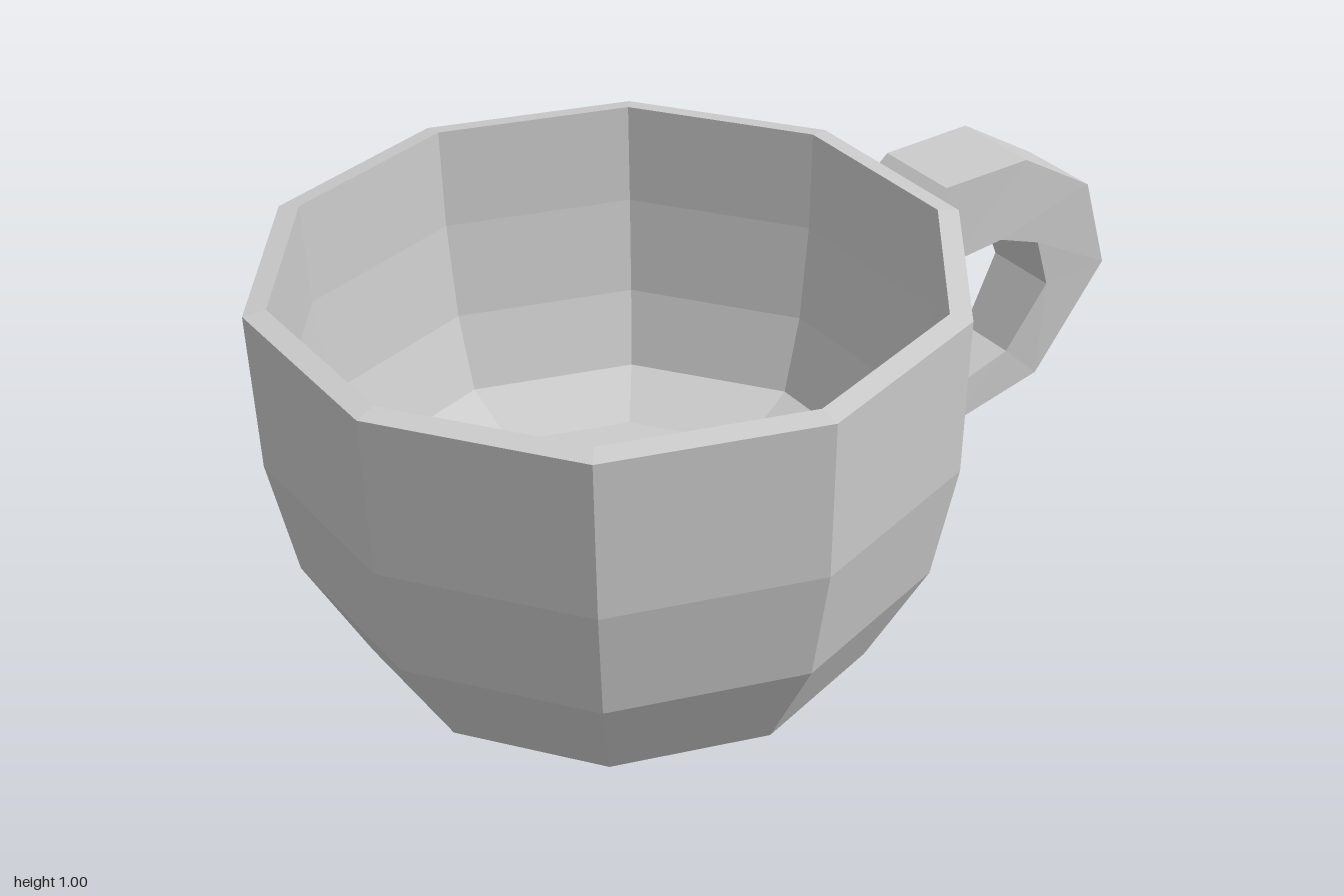
import * as THREE from 'three';

const material = new THREE.MeshStandardMaterial({ color: 0xcccccc, flatShading: true });
const CUP_X = -0.285;

// Ten-sided cup: underside, foot ring, outer wall, rim, inner wall and floor
function createCup() {
  const profile = [
    [0, 0.06], [0.345, 0.06], [0.345, 0], [0.387, 0], [0.387, 0.065],
    [0.457, 0.083], [0.555, 0.13], [0.69, 0.375], [0.743, 0.64], [0.753, 0.992],
    [0.705, 1], [0.696, 0.77], [0.665, 0.55], [0.61, 0.38], [0.46, 0.315], [0, 0.315],
  ].map(([r, y]) => new THREE.Vector2(r, y));
  const cup = new THREE.Mesh(new THREE.LatheGeometry(profile, 10), material);
  cup.name = 'cup';
  cup.position.x = CUP_X;
  return cup;
}

// Four-sided handle lofted through stations: outer x, y, inner x, y, half width
function createHandle() {
  const stations = [
    [0.40, 0.885, 0.40, 0.715, 0.098],
    [0.505, 0.967, 0.525, 0.775, 0.103],
    [0.73, 0.97, 0.67, 0.79, 0.105],
    [0.925, 0.85, 0.785, 0.745, 0.10],
    [1.0, 0.625, 0.83, 0.62, 0.09],
    [0.83, 0.375, 0.735, 0.465, 0.073],
    [0.565, 0.315, 0.55, 0.405, 0.069],
    [0.265, 0.195, 0.265, 0.27, 0.066],
  ];
  const rings = stations.map(([ox, oy, ix, iy, w]) => [
    [ox, oy, w], [ox, oy, -w], [ix, iy, -w], [ix, iy, w],
  ]);
  const positions = [];
  for (let i = 0; i < rings.length - 1; i++) {
    for (let k = 0; k < 4; k++) {
      const n = (k + 1) % 4;
      const a = rings[i][k], b = rings[i][n];
      const c = rings[i + 1][n], d = rings[i + 1][k];
      positions.push(...a, ...d, ...c, ...a, ...c, ...b);
    }
  }
  const geometry = new THREE.BufferGeometry();
  geometry.setAttribute('position', new THREE.Float32BufferAttribute(positions, 3));
  geometry.computeVertexNormals();
  const handle = new THREE.Mesh(geometry, material);
  handle.name = 'handle';
  return handle;
}

export function createModel() {
  const group = new THREE.Group();
  group.name = 'teacup';
  group.add(createCup(), createHandle());
  return group;
}
